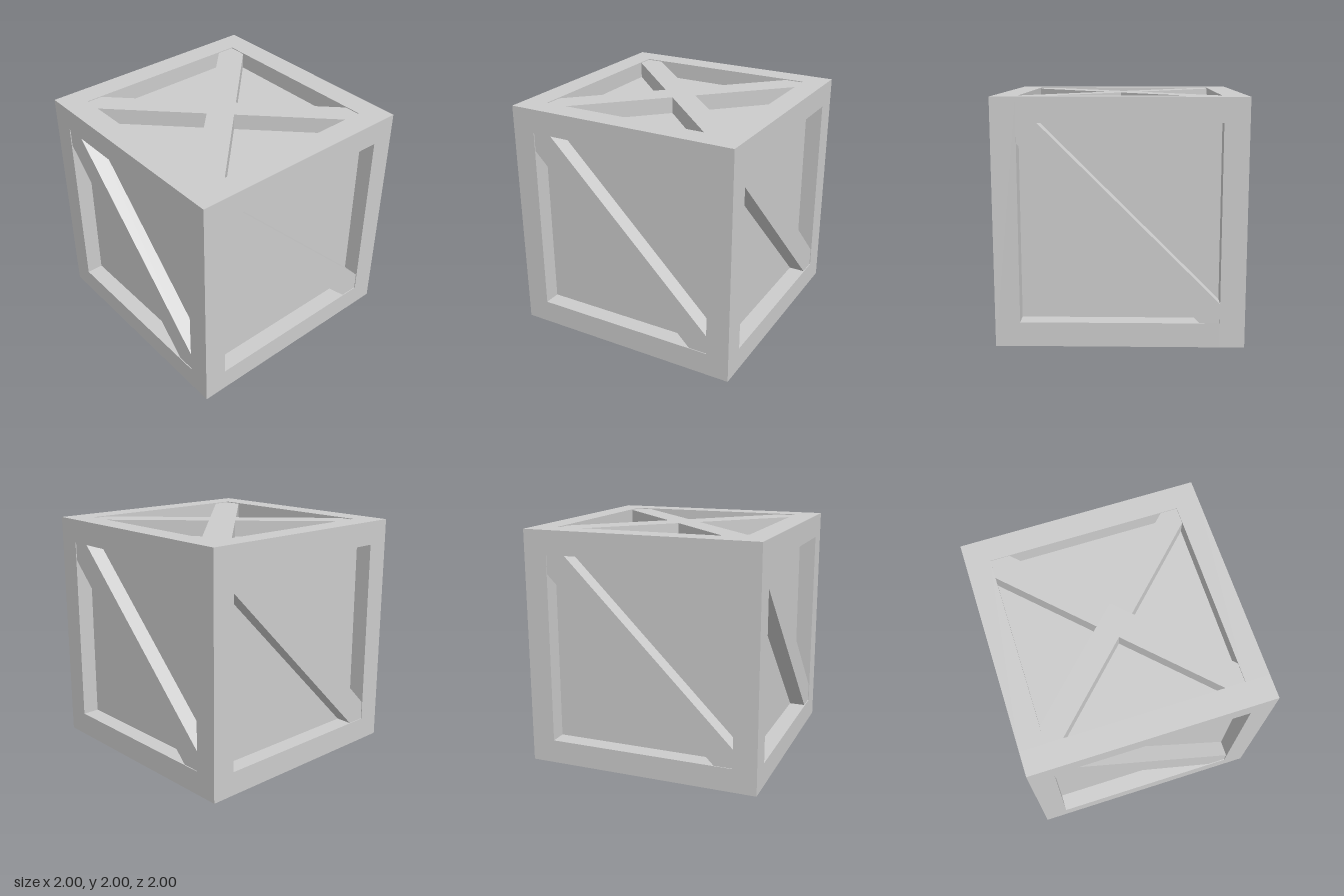
import * as THREE from 'three';

const BEAM = 0.2;      // thickness of the frame beams
const PANEL = 0.855;   // distance of the panels from the centre
const BRACE = 0.993;   // braces sit a hair below the frame
const IN = 0.8;        // half width of a face opening

export function createModel() {
  const crate = new THREE.Group();
  crate.name = 'crate';
  const material = new THREE.MeshStandardMaterial({ color: 0xcccccc, flatShading: true });

  const add = (parent, geometry, name) => {
    const mesh = new THREE.Mesh(geometry, material);
    mesh.name = name;
    parent.add(mesh);
    return mesh;
  };

  // Inner box whose faces are the recessed panels
  add(crate, new THREE.BoxGeometry(PANEL * 2, PANEL * 2, PANEL * 2), 'panels').position.y = 1;

  // Frame: four corner posts, and four rails at top and bottom
  const c = 1 - BEAM / 2;
  for (const a of [-c, c]) {
    for (const b of [-c, c]) {
      add(crate, new THREE.BoxGeometry(BEAM, 2, BEAM), 'cornerPost').position.set(a, 1, b);
      add(crate, new THREE.BoxGeometry(IN * 2, BEAM, BEAM), 'railAcross').position.set(0, 1 + a, b);
      add(crate, new THREE.BoxGeometry(BEAM, BEAM, IN * 2), 'railAlong').position.set(b, 1 + a, 0);
    }
  }

  // Brace outline, extruded outward from the panel along +z
  const braceGeometry = (points) => {
    const shape = new THREE.Shape(points.map(([x, y]) => new THREE.Vector2(x, y)));
    const geometry = new THREE.ExtrudeGeometry(shape, { depth: BRACE - PANEL, bevelEnabled: false });
    return geometry.translate(0, 0, PANEL);
  };

  // w and n: cut-back of the wide and narrow diagonals at the corners
  const w = IN - 0.16, n = IN - 0.14;
  const diagonal = braceGeometry([
    [-IN, IN], [-IN, w], [w, -IN], [IN, -IN], [IN, -w], [-w, IN],
  ]);
  const cross = braceGeometry([
    [-IN, IN], [-IN, w], [-0.15, -0.01], [-IN, -n], [-IN, -IN], [-n, -IN],
    [-0.01, -0.15], [w, -IN], [IN, -IN], [IN, -w], [0.15, 0.01], [IN, n],
    [IN, IN], [n, IN], [0.01, 0.15], [-w, IN],
  ]);

  // One diagonal brace on each side
  for (let i = 0; i < 4; i++) {
    const brace = add(crate, diagonal, 'sideBrace');
    brace.position.y = 1;
    brace.rotation.y = i * Math.PI / 2;
  }

  // Crossed braces on top and bottom
  for (const s of [-1, 1]) {
    const brace = add(crate, cross, s < 0 ? 'topBrace' : 'bottomBrace');
    brace.position.y = 1;
    brace.rotation.x = s * Math.PI / 2;
  }

  return crate;
}
